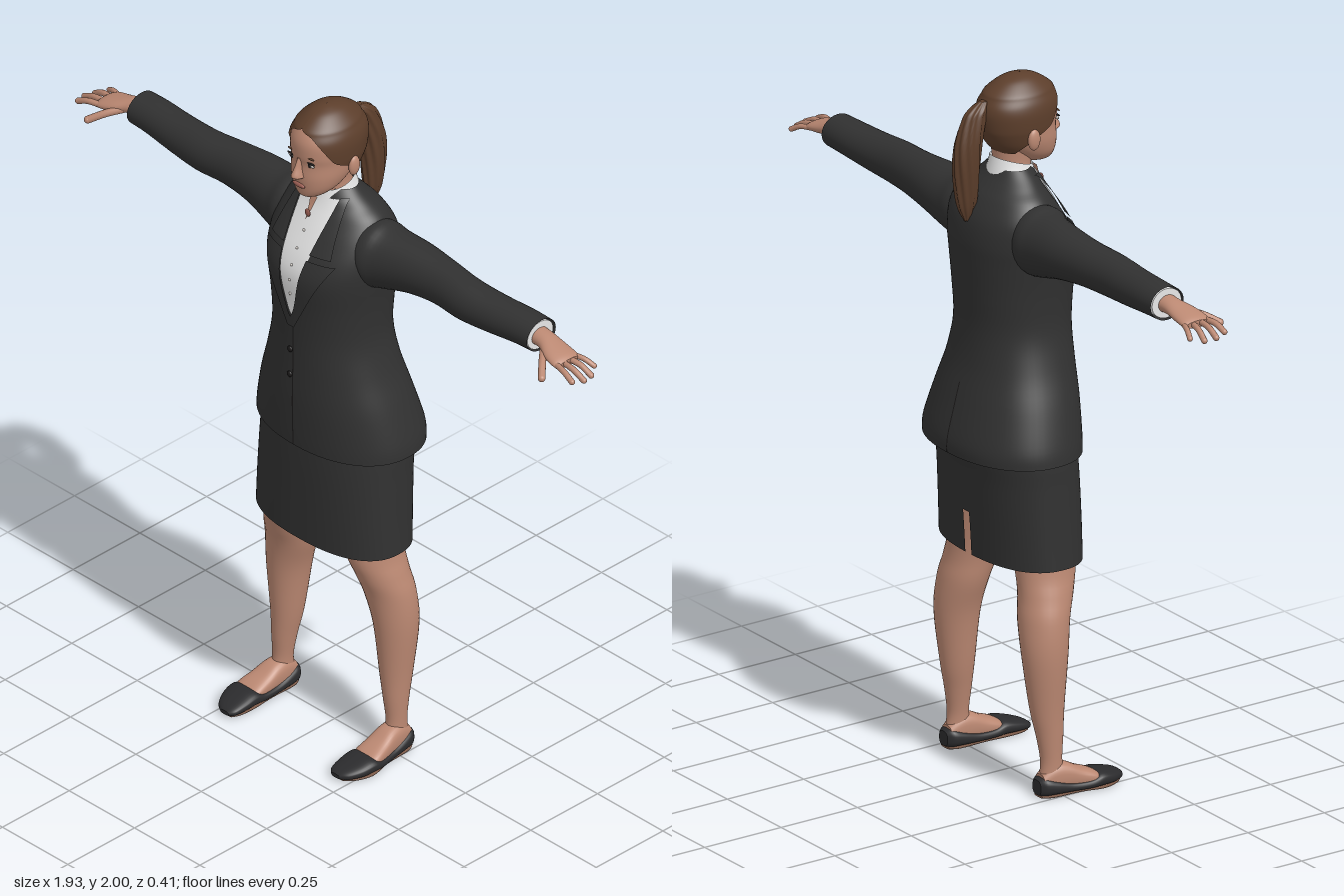
import * as THREE from 'three';
import { mergeGeometries } from 'three/addons/utils/BufferGeometryUtils.js';

const mat = (name, color, side = THREE.FrontSide) => {
  const m = new THREE.MeshStandardMaterial({ color, side });
  m.name = name;
  return m;
};

// Superellipse component
const sp = (v, e = 2) => Math.sign(v) * Math.pow(Math.abs(v), 2 / e);

// Smoothly subdivide a short list of cross-section rows
function resample(rows, sub = 5) {
  const out = [], at = i => rows[Math.min(Math.max(i, 0), rows.length - 1)];
  for (let i = 0; i < rows.length - 1; i++) for (let s = 0; s < sub; s++) {
    const t = s / sub;
    out.push(rows[i].map((b, k) => {
      const a = at(i - 1)[k], c = at(i + 1)[k], d = at(i + 2)[k];
      return b + 0.5 * t * (c - a + t * (2 * a - 5 * b + 4 * c - d + t * (3 * (b - c) + d - a)));
    }));
  }
  out.push(rows[rows.length - 1].slice());
  return out;
}

// Grid surface; fn(v, u) gives a point, rows go up and columns go right
function grid(nv, nu, fn, { wrap = false, cap = false, hole = () => false } = {}) {
  const p = [], idx = [], w = wrap ? nu : nu + 1;
  for (let i = 0; i <= nv; i++) for (let j = 0; j < w; j++) p.push(...fn(i, j));
  for (let i = 0; i < nv; i++) for (let j = 0; j < nu; j++) {
    if (hole(i, j)) continue;
    const k = (j + 1) % w, a = i * w + j, b = i * w + k, c = a + w, d = b + w;
    idx.push(a, b, d, a, d, c);
  }
  if (cap) for (const i of [0, nv]) {
    const base = p.length / 3, c = [0, 0, 0];
    for (let j = 0; j < w; j++) {
      const q = fn(i, j);
      p.push(...q);
      q.forEach((v, k) => { c[k] += v / w; });
    }
    p.push(...c);
    for (let j = 0; j < w; j++) {
      const k = (j + 1) % w;
      idx.push(base + w, base + (i ? j : k), base + (i ? k : j));
    }
  }
  const g = new THREE.BufferGeometry();
  g.setAttribute('position', new THREE.Float32BufferAttribute(p, 3));
  g.setIndex(idx);
  g.computeVertexNormals();
  return g;
}

// Cross-section rules: upright [y,cx,rx,zFront,zBack,exp,tilt], along x [x,cy,ry,cz,rz], along z [z,cx,rx,y0,y1]
const upright = ([y, cx, rx, zf, zb, e = 2, tilt = 0], a) =>
  [cx + rx * sp(Math.sin(a), e), y - tilt * Math.cos(a), (zf + zb) / 2 + (zf - zb) / 2 * sp(Math.cos(a), e)];
const alongX = ([x, cy, ry, cz, rz], a) => [x, cy + ry * Math.cos(a), cz + rz * Math.sin(a)];
const alongZ = ([z, cx, rx, y0, y1], a) =>
  [cx + rx * sp(Math.cos(a), 2.6), (y0 + y1) / 2 + (y1 - y0) / 2 * sp(Math.sin(a), 2.6), z];

function loft(rows, place, { n = 32, cap = true, hole } = {}) {
  const d = resample(rows);
  return grid(d.length - 1, n, (i, j) => place(d[i], j / n * Math.PI * 2),
    { wrap: true, cap, hole: hole && ((i, j) => hole(d[i], j)) });
}

// Depth of an upright loft's front (or back) surface at x, y
function surfaceZ(dense, x, y, back = false) {
  let i = 0;
  while (i < dense.length - 2 && dense[i + 1][0] < y) i++;
  const a = dense[i], b = dense[i + 1], t = THREE.MathUtils.clamp((y - a[0]) / (b[0] - a[0]), 0, 1);
  const [, cx, rx, zf, zb, e = 2] = a.map((v, k) => v + (b[k] - v) * t);
  const q = Math.pow(Math.max(0, 1 - Math.pow(Math.min(1, Math.abs(x - cx) / rx), e)), 1 / e);
  return (zf + zb) / 2 + (zf - zb) / 2 * q * (back ? -1 : 1);
}

// Thin sheet lying on the front surface between two edge curves
const patch = (dense, y0, y1, left, right, off) => grid(24, 12, (i, j) => {
  const y = y0 + (y1 - y0) * i / 24, x = left(y) + (right(y) - left(y)) * j / 12;
  return [x, y, surfaceZ(dense, x, y) + off];
});

const ball = (x, y, z, sx, sy, sz) => new THREE.SphereGeometry(1, 20, 14).scale(sx, sy, sz).translate(x, y, z);

function mirrored(g) {
  const m = g.clone().scale(-1, 1, 1), ix = m.index.array;
  for (let i = 0; i < ix.length; i += 3) [ix[i + 1], ix[i + 2]] = [ix[i + 2], ix[i + 1]];
  return m;
}

export function createModel() {
  const model = new THREE.Group();
  model.name = 'womanInSuit';
  const suit = mat('charcoal cloth', 0x313131, THREE.DoubleSide), shirt = mat('white shirt', 0xe6e6e6, THREE.DoubleSide);
  const skin = mat('skin', 0xbb8872, THREE.DoubleSide), hair = mat('brown hair', 0x5c3e2b, THREE.DoubleSide);
  const shoeMat = mat('shoe leather', 0x2b2b2d), sole = mat('sole brown', 0x7d5a48), dark = mat('dark detail', 0x1c1a1a);
  const lip = mat('lip red', 0x9c5f54), white = mat('eye white', 0xd8d2cc);
  const add = (name, g, m) => {
    const mesh = new THREE.Mesh(g, m);
    mesh.name = name;
    model.add(mesh);
  };
  const pair = (name, g, m) => { add(name + 'Left', g, m); add(name + 'Right', mirrored(g), m); };

  // Jacket body
  const torso = [
    [0.955, 0, 0.258, 0.153, -0.205, 2.2], [1.0, 0, 0.252, 0.155, -0.204, 2.2], [1.1, 0, 0.224, 0.157, -0.178, 2.2],
    [1.2, 0, 0.19, 0.155, -0.152, 2.2], [1.3, 0, 0.167, 0.154, -0.14, 2.2], [1.4, 0, 0.168, 0.157, -0.143, 2.3],
    [1.5, 0, 0.18, 0.164, -0.149, 2.3], [1.56, 0, 0.185, 0.148, -0.15, 2.3], [1.62, 0, 0.18, 0.115, -0.14, 2.2],
    [1.67, 0, 0.155, 0.085, -0.115, 2], [1.70, 0, 0.12, 0.068, -0.09, 2], [1.725, 0, 0.092, 0.058, -0.068, 2],
    [1.745, 0, 0.07, 0.045, -0.055, 2]];
  const body = resample(torso);
  add('jacketBody', loft(torso, upright, { n: 64, cap: false }), suit);

  // Shirt front, lapels and collars
  const vee = y => 0.066 * Math.pow(Math.max(0, (y - 1.375) / 0.325), 0.6);
  add('shirtFront', patch(body, 1.375, 1.725, y => -vee(y), vee, 0.005), shirt);
  pair('lapel', patch(body, 1.345, 1.57, y => vee(y) - 0.003, y => 0.012 + 0.116 * (y - 1.345) / 0.225, 0.011), suit);
  pair('jacketCollar', patch(body, 1.585, 1.73, y => vee(y) - 0.002, y => 0.112 - 0.028 * (y - 1.585) / 0.145, 0.011), suit);
  add('shirtCollar', loft([[1.705, 0, 0.073, 0.078, -0.066, 2, 0.022], [1.735, 0, 0.062, 0.068, -0.06, 2, 0.02],
    [1.758, 0, 0.056, 0.062, -0.056, 2, 0.018]], upright, { cap: false }), shirt);
  add('openNeck', patch(body, 1.66, 1.725, y => -0.2 * (y - 1.66), y => 0.2 * (y - 1.66), 0.02), skin);
  add('pendant', ball(0, 1.68, surfaceZ(body, 0, 1.68) + 0.022, 0.01, 0.012, 0.004), lip);
  for (let i = 0; i < 5; i++)
    add('shirtButton', ball(0, 1.45 + i * 0.045, surfaceZ(body, 0, 1.45 + i * 0.045) + 0.006, 0.004, 0.004, 0.003), white);
  add('frontSeam', patch(body, 0.96, 1.37, () => -0.002, () => 0.002, 0.002), dark);
  for (const y of [1.18, 1.26]) add('jacketButton', ball(-0.012, y, surfaceZ(body, 0, y) + 0.002, 0.009, 0.009, 0.005), dark);
  add('backVent', grid(12, 1, (i, j) => {
    const y = 0.958 + i * 0.016, x = 0.002 - j * 0.004;
    return [x, y, surfaceZ(body, x, y, true) - 0.002];
  }), dark);

  // Sleeves with shirt cuffs
  pair('sleeve', loft([[0.1, 1.575, 0.085, -0.01, 0.075], [0.16, 1.575, 0.098, -0.012, 0.09], [0.21, 1.575, 0.089, -0.018, 0.082],
    [0.3, 1.585, 0.074, -0.024, 0.072], [0.4, 1.588, 0.064, -0.022, 0.062], [0.5, 1.586, 0.06, -0.014, 0.06],
    [0.6, 1.587, 0.054, -0.018, 0.058], [0.7, 1.592, 0.049, -0.024, 0.056], [0.765, 1.593, 0.047, -0.025, 0.054]],
  alongX, { cap: false }), suit);
  pair('cuff', loft([[0.70, 1.592, 0.042, -0.024, 0.048], [0.762, 1.593, 0.042, -0.024, 0.048]], alongX), shirt);

  // Hands
  const finger = (r, ...pts) => {
    const v = pts.map(p => new THREE.Vector3(...p)), e = v[v.length - 1];
    return [new THREE.TubeGeometry(new THREE.CatmullRomCurve3(v), 8, r, 10), ball(e.x, e.y, e.z, r, r, r)];
  };
  pair('palm', loft([[0.75, 1.592, 0.026, -0.022, 0.03], [0.79, 1.59, 0.022, -0.02, 0.031], [0.83, 1.581, 0.02, -0.012, 0.041],
    [0.87, 1.573, 0.016, -0.009, 0.044], [0.886, 1.57, 0.01, -0.009, 0.038]], alongX), skin);
  pair('fingers', mergeGeometries([
    ...finger(0.0075, [0.865, 1.571, -0.042], [0.9, 1.567, -0.054], [0.927, 1.553, -0.064]),
    ...finger(0.0085, [0.87, 1.572, -0.02], [0.915, 1.566, -0.027], [0.948, 1.547, -0.032]),
    ...finger(0.0085, [0.87, 1.572, 0.003], [0.915, 1.568, 0.004], [0.955, 1.55, 0.002]),
    ...finger(0.0085, [0.87, 1.572, 0.024], [0.91, 1.57, 0.032], [0.944, 1.556, 0.036]),
    ...finger(0.0105, [0.8, 1.583, 0.0], [0.835, 1.57, 0.04], [0.868, 1.55, 0.075])]), skin);

  // Skirt with a slit at the back
  add('skirt', loft([[0.65, 0, 0.248, 0.14, -0.137, 2.4], [0.75, 0, 0.244, 0.14, -0.143, 2.4], [0.88, 0, 0.24, 0.14, -0.155, 2.3],
    [0.97, 0, 0.237, 0.138, -0.168, 2.2], [1.03, 0, 0.215, 0.135, -0.15, 2.2]], upright,
  { n: 97, cap: false, hole: ([y], j) => y < 0.765 && j === 48 }), suit);

  // Legs, feet and shoes
  pair('leg', loft([[0.05, 0.218, 0.027, 0.02, -0.056], [0.1, 0.217, 0.027, 0.012, -0.05], [0.17, 0.213, 0.034, 0.017, -0.06],
    [0.25, 0.208, 0.044, 0.022, -0.076], [0.4, 0.204, 0.061, 0.034, -0.095], [0.5, 0.187, 0.073, 0.048, -0.093],
    [0.57, 0.172, 0.071, 0.072, -0.084], [0.65, 0.153, 0.071, 0.094, -0.085], [0.85, 0.12, 0.09, 0.11, -0.1]], upright), skin);
  pair('foot', loft([[-0.055, 0.217, 0.024, 0.01, 0.065], [-0.02, 0.218, 0.032, 0.01, 0.09], [0.02, 0.22, 0.036, 0.01, 0.087],
    [0.06, 0.223, 0.04, 0.01, 0.068], [0.1, 0.226, 0.043, 0.01, 0.052], [0.13, 0.226, 0.035, 0.01, 0.035]], alongZ), skin);
  pair('shoe', loft([[-0.066, 0.217, 0.02, 0.008, 0.05], [-0.05, 0.217, 0.034, 0.004, 0.058], [-0.02, 0.218, 0.04, 0.004, 0.05],
    [0.03, 0.22, 0.043, 0.004, 0.036], [0.08, 0.224, 0.049, 0.004, 0.036], [0.115, 0.226, 0.051, 0.004, 0.048],
    [0.155, 0.223, 0.047, 0.004, 0.04], [0.19, 0.216, 0.034, 0.005, 0.029], [0.205, 0.212, 0.016, 0.008, 0.02]], alongZ), shoeMat);
  pair('sole', loft([[-0.06, 0.217, 0.02, 0, 0.007], [-0.03, 0.218, 0.034, 0, 0.007], [0.05, 0.221, 0.036, 0, 0.007],
    [0.12, 0.226, 0.046, 0, 0.007], [0.17, 0.22, 0.037, 0, 0.007], [0.195, 0.214, 0.02, 0, 0.007]], alongZ), sole);

  // Neck, head and ears
  add('neck', loft([[1.66, 0, 0.062, 0.05, -0.06], [1.74, 0, 0.05, 0.057, -0.05], [1.78, 0, 0.05, 0.066, -0.052],
    [1.83, 0, 0.056, 0.07, -0.06]], upright), skin);
  const headRows = [[1.742, 0, 0.024, 0.117, 0.06, 2], [1.752, 0, 0.042, 0.127, 0.03, 2], [1.775, 0, 0.063, 0.132, -0.005, 2.1],
    [1.81, 0, 0.077, 0.135, -0.045, 2.1], [1.85, 0, 0.083, 0.132, -0.075, 2.1], [1.88, 0, 0.086, 0.136, -0.083, 2.1],
    [1.92, 0, 0.083, 0.134, -0.08, 2.1], [1.955, 0, 0.066, 0.115, -0.06, 2], [1.98, 0, 0.04, 0.085, -0.03, 2], [1.99, 0, 0.015, 0.05, 0.01, 2]];
  const head = resample(headRows);
  add('head', loft(headRows, upright, { n: 48 }), skin);
  pair('ear', ball(0.09, 1.835, 0.015, 0.011, 0.03, 0.019), skin);

  // Face details
  const onFace = (x, y, sx, sy, sz, d = 0) => ball(x, y, surfaceZ(head, x, y) + d, sx, sy, sz);
  add('nose', loft([[1.808, 0, 0.008, 0.143, 0.11], [1.815, 0, 0.017, 0.156, 0.11], [1.823, 0, 0.015, 0.16, 0.11],
    [1.845, 0, 0.009, 0.149, 0.11], [1.872, 0, 0.007, 0.137, 0.11]], upright, { n: 20 }), skin);
  pair('eye', onFace(0.035, 1.859, 0.014, 0.006, 0.004), white);
  pair('iris', onFace(0.034, 1.859, 0.006, 0.006, 0.005, 0.001), dark);
  pair('eyelash', onFace(0.036, 1.866, 0.016, 0.0025, 0.004, 0.001), dark);
  pair('eyebrow', onFace(0.038, 1.881, 0.018, 0.003, 0.004).rotateZ(0.003), hair);
  add('lips', onFace(0, 1.786, 0.023, 0.007, 0.006, 0.001), lip);

  // Swept-back hair: [y, cx, rx, zFront, zBack, exp, hairline angle]
  const hairRows = resample([[1.79, 0, 0.07, 0.12, -0.05, 2, 2.3], [1.815, 0, 0.081, 0.13, -0.072, 2, 1.9],
    [1.845, 0, 0.088, 0.138, -0.086, 2.1, 1.45], [1.865, 0, 0.091, 0.14, -0.092, 2.1, 1.1], [1.9, 0, 0.092, 0.142, -0.096, 2.1, 0.85],
    [1.925, 0, 0.088, 0.139, -0.092, 2.1, 0.66], [1.945, 0, 0.08, 0.131, -0.082, 2, 0.42], [1.96, 0, 0.071, 0.121, -0.072, 2, 0],
    [1.985, 0, 0.044, 0.085, -0.035, 2, 0], [1.996, 0, 0.021, 0.055, 0, 2, 0], [2.0, 0, 0.001, 0.031, 0.029, 2, 0]]);
  add('hair', grid(hairRows.length - 1, 48, (i, j) => {
    const r = hairRows[i], a0 = Math.max(0, r[6]);
    return upright(r.slice(0, 6), a0 + (Math.PI * 2 - 2 * a0) * j / 48);
  }), hair);

  // Ponytail with ridged strands
  add('ponytail', loft([[1.61, 0, 0.006, -0.135, -0.15], [1.66, 0, 0.021, -0.115, -0.172], [1.75, 0, 0.032, -0.108, -0.181],
    [1.83, 0, 0.033, -0.1, -0.175], [1.9, 0, 0.026, -0.085, -0.15], [1.925, 0, 0.021, -0.075, -0.128], [1.942, 0, 0.01, -0.07, -0.1]],
  ([y, cx, rx, zf, zb], a) => {
    const k = 0.04 * Math.cos(9 * a + y * 30), h = (zf - zb) * k;
    return upright([y, cx, rx * (1 + 2 * k), zf + h, zb - h], a);
  }, { n: 54 }), hair);

  return model;
}
